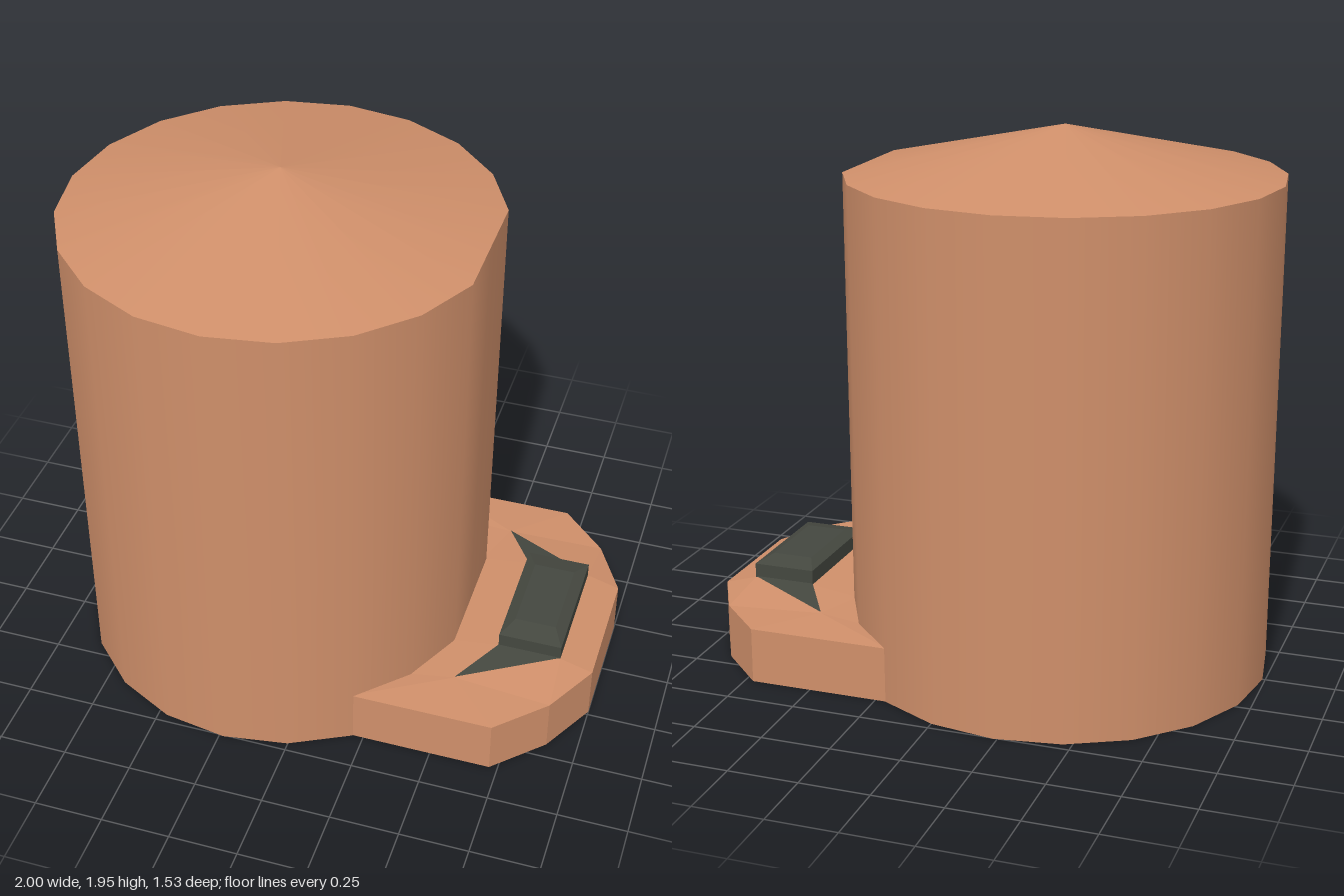
import * as THREE from 'three';

const clay = new THREE.MeshStandardMaterial({ color: 0xcf8f6a });
clay.name = 'clay';
const clayFlat = new THREE.MeshStandardMaterial({ color: 0xcf8f6a, flatShading: true, side: THREE.DoubleSide });
clayFlat.name = 'clay faceted';
const dark = new THREE.MeshStandardMaterial({ color: 0x44473f, flatShading: true, side: THREE.DoubleSide });
dark.name = 'charcoal';

const CENTRE = -0.235, SIDES = 20;

// Flattens the +x corner so that the wall has one wide panel there
function flattenRight(geometry) {
  const p = geometry.attributes.position;
  for (let i = 0; i < p.count; i++) {
    if (p.getX(i) > 0.7 && Math.abs(p.getZ(i)) < 0.01) p.setX(i, p.getX(i) * Math.cos(Math.PI / 10));
  }
  return geometry;
}

// Loose triangles from a list of corner points
function triangles(list) {
  const g = new THREE.BufferGeometry();
  g.setAttribute('position', new THREE.Float32BufferAttribute(list.flat(2), 3));
  g.computeVertexNormals();
  return g;
}

export function createModel() {
  const model = new THREE.Group();
  const add = (name, geometry, material) => {
    const mesh = new THREE.Mesh(geometry, material);
    mesh.name = name;
    model.add(mesh);
    return mesh;
  };

  // Tower, slightly wider at the top, with a shallow conical roof
  add('tower', flattenRight(new THREE.CylinderGeometry(0.765, 0.755, 1.78, SIDES)), clay).position.set(CENTRE, 0.89, 0);
  add('roof', flattenRight(new THREE.ConeGeometry(0.765, 0.17, SIDES, 1, true)), clay).position.set(CENTRE, 1.865, 0);

  // Low faceted step beside the tower
  const half = [[0.2, 0.608], [0.72, 0.608], [0.89, 0.44], [1, 0.235]];
  const outline = [...half, ...half.map(([x, z]) => [x, -z]).reverse()];
  const stepGeo = new THREE.ExtrudeGeometry(
    new THREE.Shape(outline.map(([x, z]) => new THREE.Vector2(x, z))),
    { depth: 0.2, bevelEnabled: false }
  );
  stepGeo.rotateX(-Math.PI / 2);
  add('step', stepGeo, clayFlat);

  // Gently raised top of the step, and the dark flares lying on it
  const slope = [], flares = [];
  for (const s of [1, -1]) {
    const rim = half.map(([x, z]) => [x, 0.2, z * s]);
    const a = [0.65, 0.235, 0.235 * s], b = [0.88, 0.235, 0.235 * s];
    const tip = [0.535, 0.212, 0.42 * s];
    const wallA = [0.38, 0.203, 0.44 * s], wallB = [0.47, 0.21, 0.235 * s];
    const mid = (p) => [p[0], p[1], 0];
    const faces = [
      [b, rim[3], rim[2]], [b, rim[2], tip], [rim[2], rim[1], tip], [rim[1], rim[0], tip],
      [rim[0], wallA, tip], [wallA, wallB, tip], [wallB, a, tip], [a, b, tip],
      [b, mid(b), mid(rim[3])], [b, mid(rim[3]), rim[3]],
      [a, wallB, mid(wallB)], [a, mid(wallB), mid(a)],
    ];
    // Keep every face pointing up on both halves
    for (const [p, q, r] of faces) {
      const up = (q[2] - p[2]) * (r[0] - p[0]) - (q[0] - p[0]) * (r[2] - p[2]) > 0;
      slope.push(up ? [p, q, r] : [p, r, q]);
    }
    const lift = (p) => [p[0], p[1] + 0.004, p[2]];
    flares.push(s > 0 ? [lift(a), lift(tip), lift(b)] : [lift(a), lift(b), lift(tip)]);
  }
  add('stepTop', triangles(slope), clayFlat);
  add('flares', triangles(flares), dark);

  // Dark block with a chamfered top
  const ring = (y, dx, dz) => [[0.65 + dx, y, 0.235 - dz], [0.88 - dx, y, 0.235 - dz], [0.88 - dx, y, -0.235 + dz], [0.65 + dx, y, -0.235 + dz]];
  const rings = [ring(0.23, 0, 0), ring(0.288, 0, 0), ring(0.307, 0.04, 0.08)];
  const block = [];
  for (let k = 0; k < 2; k++) {
    for (let i = 0; i < 4; i++) {
      const j = (i + 1) % 4, lo = rings[k], hi = rings[k + 1];
      block.push([lo[i], lo[j], hi[j]], [lo[i], hi[j], hi[i]]);
    }
  }
  const t = rings[2];
  block.push([t[0], t[1], t[2]], [t[0], t[2], t[3]]);
  add('block', triangles(block), dark);

  return model;
}
